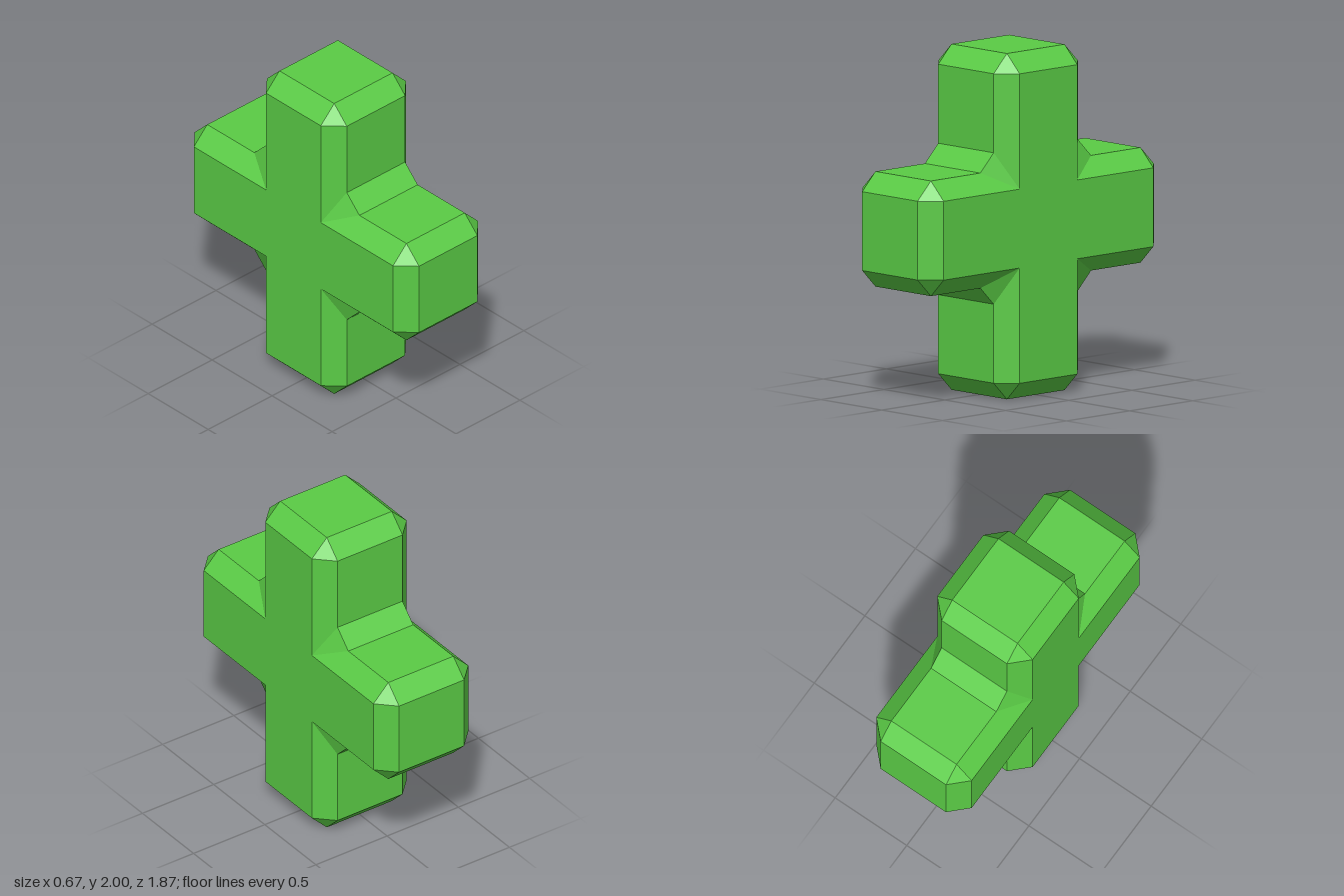
import * as THREE from 'three';

const W = 0.333;      // half thickness of every arm
const C = 0.105;      // chamfer width
const E = W - C;      // half width of the flat between chamfers
const ARM = 0.935;    // reach of the horizontal arms
const POST = 1.0;     // reach of the vertical arms

// One quadrant of the cross: [outer outline point, flat face point], counter-clockwise
const QUADRANT = [
  [[ARM, E], [ARM - C, E]],
  [[ARM - C, W], [ARM - C, E]],
  [[W + C, W], [E, E]],
  [[W, W + C], [E, E]],
  [[W, POST - C], [E, POST - C]],
  [[E, POST], [E, POST - C]],
];

function crossOutline() {
  const outline = [];
  for (const [sx, sy] of [[1, 1], [-1, 1], [-1, -1], [1, -1]]) {
    const part = QUADRANT.map(pair => pair.map(([x, y]) => new THREE.Vector2(x * sx, y * sy)));
    if (sx * sy < 0) part.reverse();
    outline.push(...part);
  }
  return outline;
}

function crossGeometry() {
  const outline = crossOutline();
  const outer = outline.map(p => p[0]);
  const face = outline.map(p => p[1]);
  const n = outline.length;
  const positions = [];
  const tri = (a, b, c) => {
    const area = b.clone().sub(a).cross(c.clone().sub(a)).length();
    if (area > 1e-6) for (const p of [a, b, c]) positions.push(p.x, p.y, p.z);
  };
  const ring = (points, z) => points.map(p => new THREE.Vector3(p.x, p.y, z));

  // Chamfered walls between four rings, back to front
  const rings = [ring(face, -W), ring(outer, -E), ring(outer, E), ring(face, W)];
  for (let r = 0; r < 3; r++) {
    for (let i = 0; i < n; i++) {
      const j = (i + 1) % n;
      const [a, b, c, d] = [rings[r][i], rings[r][j], rings[r + 1][j], rings[r + 1][i]];
      tri(a, b, c);
      tri(a, c, d);
    }
  }

  // Flat cross faces on both sides
  const flat = face.filter((p, i) => i % 2 === 0);
  const front = ring(flat, W);
  const back = ring(flat, -W);
  for (const [a, b, c] of THREE.ShapeUtils.triangulateShape(flat, [])) {
    tri(front[a], front[b], front[c]);
    tri(back[a], back[c], back[b]);
  }

  const geometry = new THREE.BufferGeometry();
  geometry.setAttribute('position', new THREE.Float32BufferAttribute(positions, 3));
  geometry.computeVertexNormals();
  return geometry;
}

export function createModel() {
  const group = new THREE.Group();
  group.name = 'chamferedCross';
  const material = new THREE.MeshStandardMaterial({ color: 0x5acb45, flatShading: true });
  const cross = new THREE.Mesh(crossGeometry().rotateY(Math.PI / 2), material);
  cross.name = 'crossBody';
  cross.position.y = POST;
  group.add(cross);
  return group;
}
